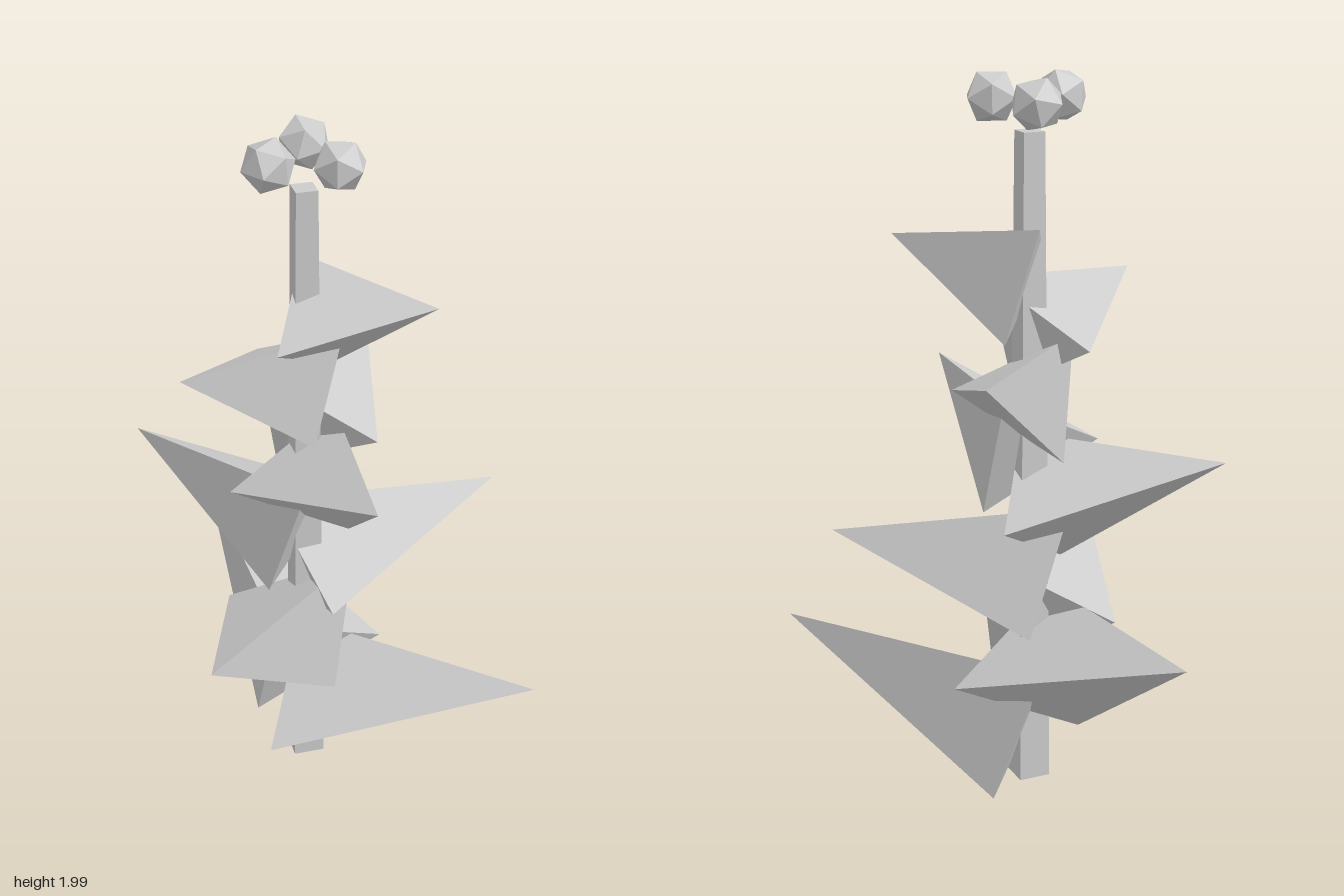
import * as THREE from 'three';

const LEAF_ANGLES = [7, 147, 276.5, 49, 184, 322, 97, 249, 9.5]; // degrees round the stem
const AXIS = { x: -0.075, z: -0.082 };

export function createModel() {
  const model = new THREE.Group();
  const material = new THREE.MeshStandardMaterial({ color: 0xcccccc, flatShading: true });
  const plant = new THREE.Group();
  plant.name = 'plant';
  plant.position.set(AXIS.x, 0, AXIS.z);
  model.add(plant);

  const add = (name, geometry) => {
    const mesh = new THREE.Mesh(geometry, material);
    mesh.name = name;
    plant.add(mesh);
    return mesh;
  };

  // Tapered four-sided stem
  add('stem', new THREE.CylinderGeometry(0.042, 0.063, 1.81, 4)).position.y = 0.945;

  // Spiral of three-sided leaves, shrinking upwards; each base is centred on the stem
  LEAF_ANGLES.forEach((angle, i) => {
    const reach = 0.698 - 0.0412 * i;
    const baseY = 0.205 + 0.157 * i;
    const rise = 0.45 + 0.14 * i - baseY;
    const length = Math.hypot(reach, rise);
    const geometry = new THREE.ConeGeometry(0.257 - 0.0072 * i, length, 3);
    geometry.translate(0, length / 2, 0);
    geometry.scale(0.93, 1, 1);
    geometry.rotateZ(Math.atan2(rise, reach) - Math.PI / 2);
    const leaf = add('leaf' + (i + 1), geometry);
    leaf.position.y = baseY;
    leaf.rotation.y = THREE.MathUtils.degToRad(angle);
  });

  // Three faceted berries in a ring above the stem
  for (let i = 0; i < 3; i++) {
    const a = (i * Math.PI * 2) / 3;
    const berry = add('berry' + (i + 1), new THREE.IcosahedronGeometry(0.073, 0));
    berry.position.set(0.104 * Math.cos(a), 1.931, 0.104 * Math.sin(a));
    berry.rotation.set(0.15 * i, 0.4 + i, 0);
  }
  return model;
}
